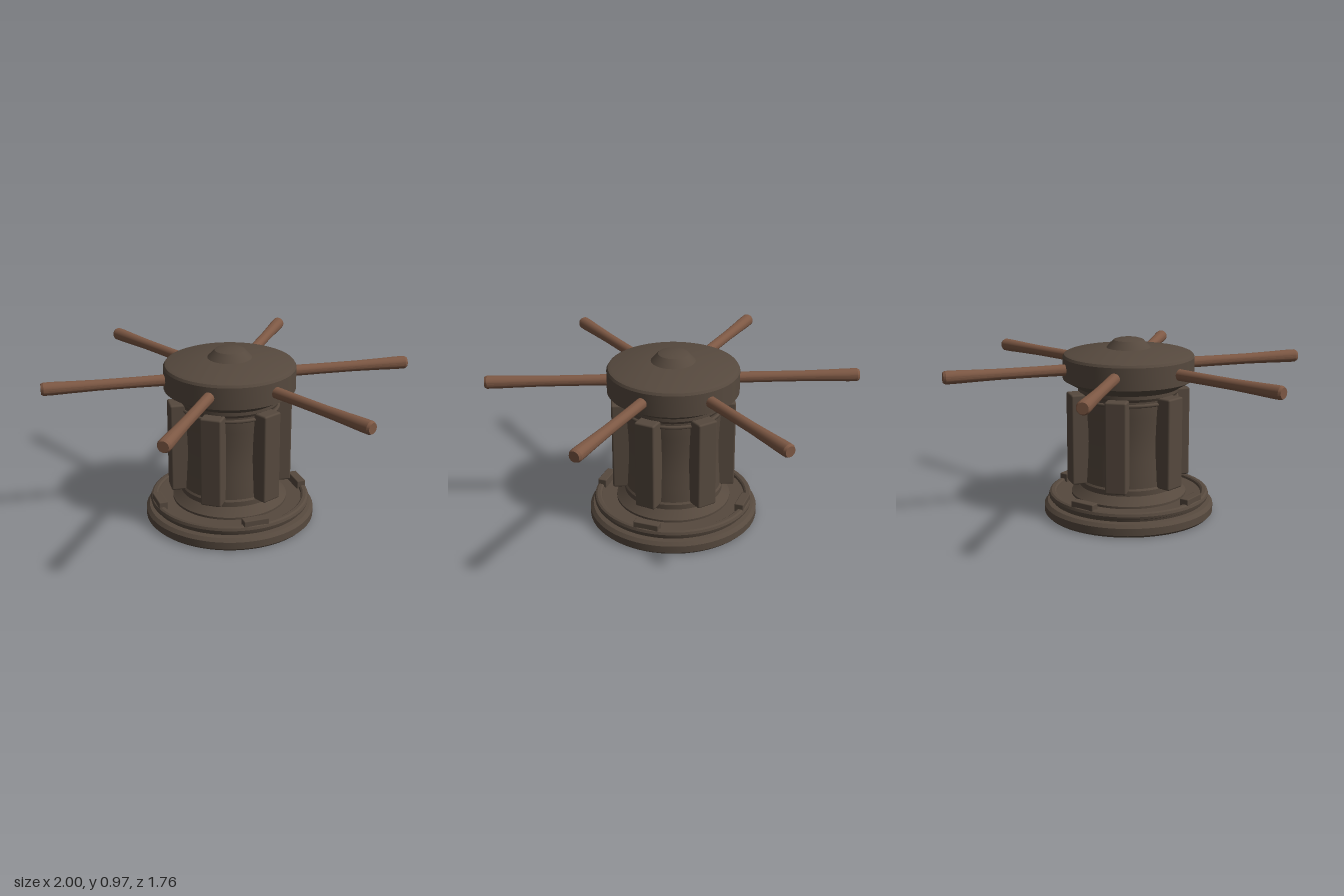
import * as THREE from 'three';
import { toCreasedNormals } from 'three/addons/utils/BufferGeometryUtils.js';
import { RoundedBoxGeometry } from 'three/addons/geometries/RoundedBoxGeometry.js';

// Turned part from [radius, height] pairs, listed bottom to top
function turned(points, segments = 64) {
  const profile = points.map(([r, y]) => new THREE.Vector2(r, y));
  return toCreasedNormals(new THREE.LatheGeometry(profile, segments), 0.4);
}

export function createModel() {
  const model = new THREE.Group();
  const iron = new THREE.MeshStandardMaterial({ color: 0x56493e });
  iron.name = 'dark iron';
  const wood = new THREE.MeshStandardMaterial({ color: 0x7d5844 });
  wood.name = 'bar wood';

  function add(name, geometry, material, parent = model) {
    const mesh = new THREE.Mesh(geometry, material);
    mesh.name = name;
    parent.add(mesh);
    return mesh;
  }

  // Round deck plate
  add('basePlate', turned([
    [0, 0], [0.452, 0], [0.465, 0.013], [0.465, 0.052], [0.448, 0.07], [0.42, 0.075], [0, 0.075],
  ]), iron);

  // Raised pawl ring with a shallow inner floor
  add('pawlRing', turned([
    [0.42, 0.07], [0.425, 0.087], [0.437, 0.093], [0.44, 0.106], [0.435, 0.12],
    [0.425, 0.126], [0.408, 0.126], [0.4, 0.12], [0.397, 0.108], [0.29, 0.108],
  ]), iron);

  // Waisted drum with flared foot, lip and neck
  add('drum', turned([
    [0.315, 0.105], [0.315, 0.12], [0.3, 0.132], [0.27, 0.162], [0.27, 0.19], [0.262, 0.2],
    [0.257, 0.28], [0.252, 0.36], [0.25, 0.43], [0.252, 0.5], [0.257, 0.58], [0.262, 0.64],
    [0.262, 0.67], [0.27, 0.685], [0.27, 0.72],
  ]), iron);
  const band = add('drumBand', new THREE.TorusGeometry(0.262, 0.01, 8, 64), iron);
  band.rotation.x = Math.PI / 2;
  band.position.y = 0.65;

  // Drum head and its cap
  add('head', turned([
    [0, 0.705], [0.275, 0.705], [0.29, 0.715], [0.355, 0.752], [0.355, 0.87],
    [0.347, 0.883], [0.33, 0.89], [0.12, 0.917], [0, 0.92],
  ]), iron);
  add('cap', turned([[0.12, 0.905], [0.12, 0.916], [0.081, 0.958], [0.06, 0.965], [0, 0.97]], 48), iron);

  // Six whelps and six bars share the same directions
  const barGeometry = turned([
    [0, 0.28], [0.031, 0.28], [0.029, 0.5], [0.029, 0.7], [0.032, 0.84],
    [0.035, 0.94], [0.035, 0.985], [0.028, 0.998], [0, 0.998],
  ], 24).rotateZ(-Math.PI / 2);
  const whelpGeometry = new RoundedBoxGeometry(0.11, 0.495, 0.115, 2, 0.01);
  for (let i = 0; i < 6; i++) {
    const spoke = new THREE.Group();
    spoke.name = 'spoke' + (i + 1);
    spoke.rotation.y = i * Math.PI / 3;
    model.add(spoke);
    add('bar', barGeometry, wood, spoke).position.y = 0.813;
    add('whelp', whelpGeometry, iron, spoke).position.set(0.28, 0.437, 0);
  }

  // Four pawls lying on the ring
  const pawlGeometry = new RoundedBoxGeometry(0.05, 0.055, 0.14, 1, 0.005);
  for (let i = 0; i < 4; i++) {
    const pivot = new THREE.Group();
    pivot.name = 'pawlPivot' + (i + 1);
    pivot.rotation.y = -0.4 + i * Math.PI / 2;
    model.add(pivot);
    add('pawl', pawlGeometry, iron, pivot).position.set(0.404, 0.127, 0);
  }
  return model;
}
